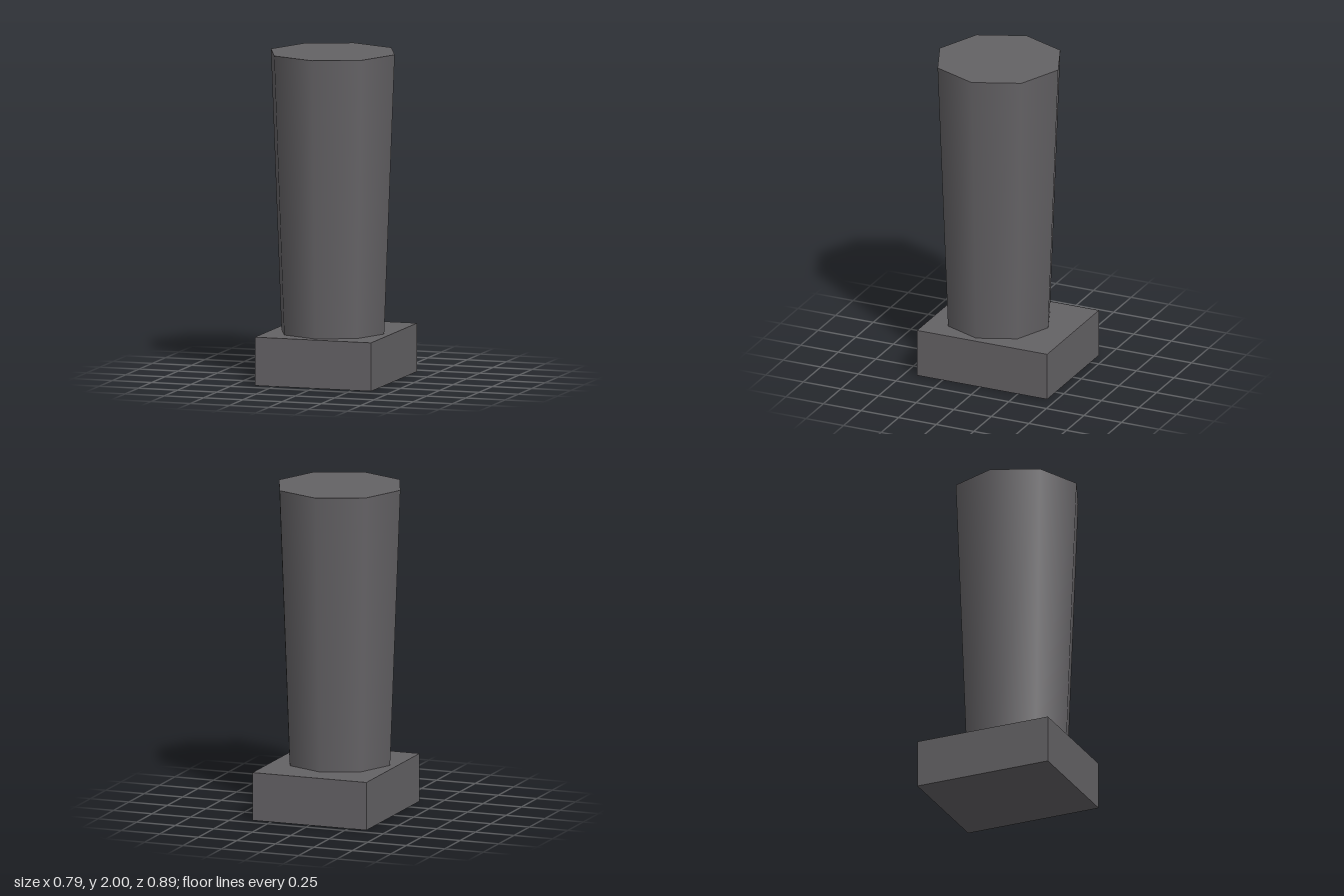
import * as THREE from 'three';

export function createModel() {
  const model = new THREE.Group();
  const darkGrey = new THREE.MeshStandardMaterial({ color: 0x646265 });
  darkGrey.name = 'darkGrey';

  const add = (name, geometry, x, y, z) => {
    const mesh = new THREE.Mesh(geometry, darkGrey);
    mesh.name = name;
    mesh.position.set(x, y, z);
    model.add(mesh);
  };

  // rectangular foot block, reaching slightly further back than forward
  const footHeight = 0.295;
  add('foot', new THREE.BoxGeometry(0.74, footHeight, 0.865), 0, footHeight / 2, -0.0125);

  // eight-sided leg, smooth-shaded, widening towards the flat top
  const legHeight = 2 - footHeight;
  add('leg', new THREE.CylinderGeometry(0.394, 0.327, legHeight, 8), 0, footHeight + legHeight / 2, 0.0475);

  return model;
}
